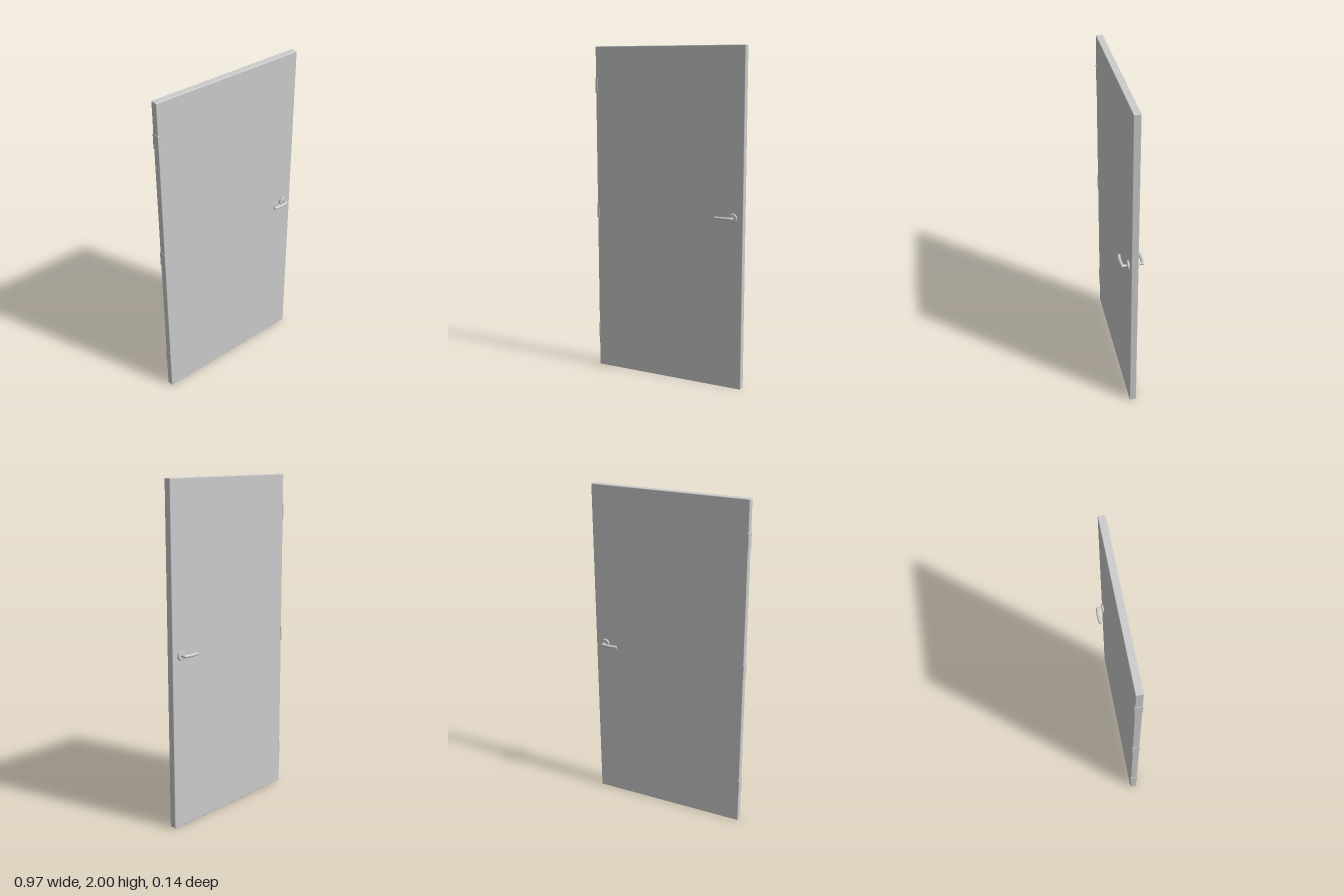
import * as THREE from 'three';
import { RoundedBoxGeometry } from 'three/addons/geometries/RoundedBoxGeometry.js';

const material = new THREE.MeshStandardMaterial({ color: 0xcccccc });

function add(parent, name, geometry, x = 0, y = 0, z = 0) {
  const mesh = new THREE.Mesh(geometry, material);
  mesh.name = name;
  mesh.position.set(x, y, z);
  parent.add(mesh);
  return mesh;
}

// Lever handle pointing to -x, built outwards along +z from the door's middle plane
function createHandle(name) {
  const handle = new THREE.Group();
  handle.name = name;

  // Round rose with a softened outer rim
  const rose = new THREE.LatheGeometry([
    [0, 0.018], [0.027, 0.018], [0.027, 0.028], [0.0255, 0.031], [0.0235, 0.032], [0, 0.032],
  ].map(([r, h]) => new THREE.Vector2(r, h)), 32);
  add(handle, 'rose', rose).rotation.x = Math.PI / 2;

  // Neck widening from the rose to the elbow
  const neck = new THREE.CylinderGeometry(0.008, 0.006, 0.032, 16);
  add(handle, 'neck', neck, 0.003, 0, 0.044).rotation.x = Math.PI / 2;
  add(handle, 'elbow', new THREE.SphereGeometry(0.0085, 16, 12), 0.002, 0, 0.058);

  // Gently bowed grip
  const path = new THREE.CatmullRomCurve3([
    new THREE.Vector3(0.002, 0, 0.057),
    new THREE.Vector3(-0.02, 0, 0.06),
    new THREE.Vector3(-0.045, 0, 0.061),
    new THREE.Vector3(-0.07, 0, 0.06),
    new THREE.Vector3(-0.096, 0, 0.057),
  ]);
  add(handle, 'grip', new THREE.TubeGeometry(path, 24, 0.009, 16));
  const tip = add(handle, 'gripEnd', new THREE.CircleGeometry(0.009, 16));
  tip.position.copy(path.getPoint(1));
  tip.lookAt(tip.position.clone().add(path.getTangent(1)));
  return handle;
}

export function createModel() {
  const door = new THREE.Group();
  door.name = 'door';

  // Door leaf with slightly eased edges
  add(door, 'leaf', new RoundedBoxGeometry(0.968, 2, 0.041, 2, 0.004), 0.001, 1, 0);

  // Three hinge leaves wrapped around the hinge edge
  for (const y of [0.235, 1.005, 1.77]) {
    add(door, 'hinge', new RoundedBoxGeometry(0.012, 0.092, 0.046, 2, 0.0025), -0.479, y, 0);
  }

  // A handle on each face
  const front = createHandle('frontHandle');
  const back = createHandle('backHandle');
  back.rotation.x = Math.PI;
  for (const handle of [front, back]) {
    handle.position.set(0.422, 1.027, 0);
    door.add(handle);
  }
  return door;
}
